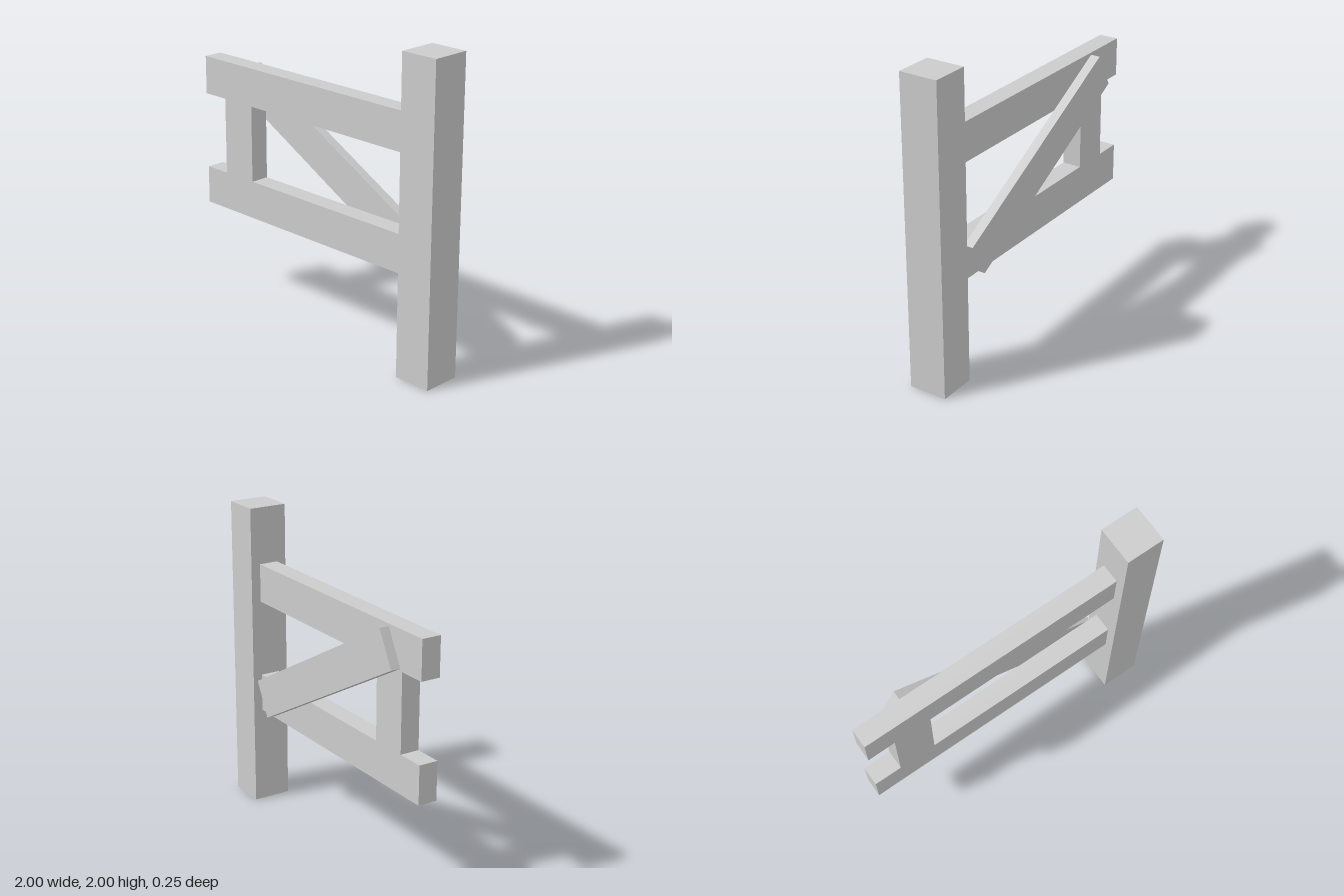
import * as THREE from 'three';

const material = new THREE.MeshStandardMaterial({ color: 0xcccccc, flatShading: true });

// Squared timber given by its size and centre, optionally tilted in the front plane
function timber(name, [w, h, d], [x, y, z], tilt = 0) {
  const mesh = new THREE.Mesh(new THREE.BoxGeometry(w, h, d), material);
  mesh.name = name;
  mesh.position.set(x, y, z);
  mesh.rotation.z = tilt;
  return mesh;
}

export function createModel() {
  const group = new THREE.Group();
  group.name = 'fenceSection';

  const width = 0.248;      // face width of every timber
  const thin = 0.125;       // depth of the rails
  const lowerY = 0.76, upperY = 1.508;

  // Tall post
  group.add(timber('post', [width, 2, 0.25], [1 - width / 2, 1, 0]));

  // Two horizontal rails butting against the post
  const railLength = 2 - width;
  for (const [name, y] of [['lowerRail', lowerY], ['upperRail', upperY]]) {
    group.add(timber(name, [railLength, width, thin], [-1 + railLength / 2, y, 0]));
  }

  // Short upright between the rails
  const gap = upperY - lowerY - width;
  group.add(timber('upright', [width, gap, thin], [-0.694, (lowerY + upperY) / 2, 0]));

  // Diagonal brace fixed flat to the back of the rails
  group.add(timber('diagonalBrace', [1.571, width, 0.0625], [-0.05, 1.134, -0.09375], -0.496));

  return group;
}
